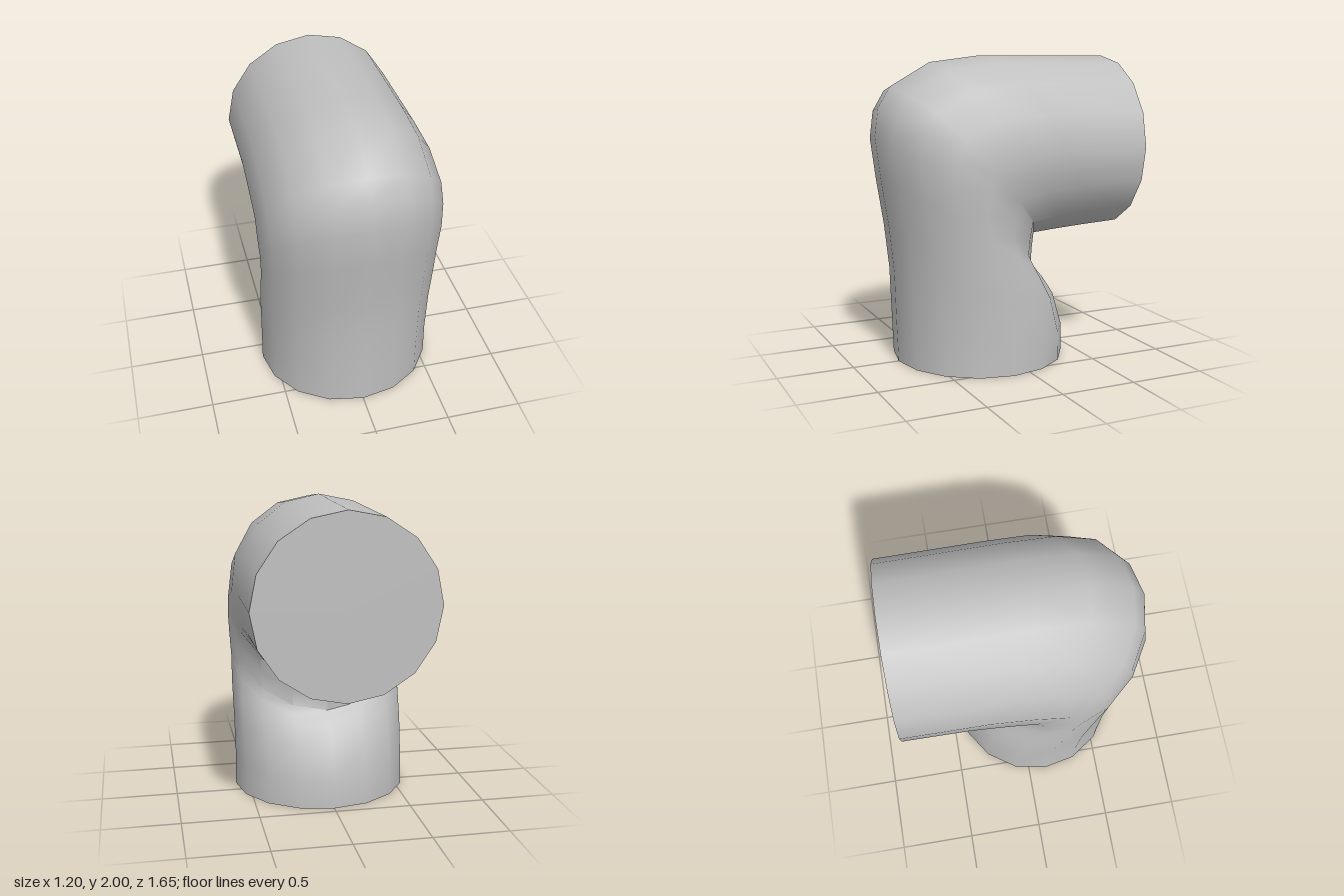
import * as THREE from 'three';
import { toCreasedNormals } from 'three/addons/utils/BufferGeometryUtils.js';

const SIDES = 16;

// Cross-sections along the bend: outer z, y, inner z, y, half width
const SECTIONS = [
  [0.69, 0.0, -0.45, 0.0, 0.585],
  [0.7, 0.25, -0.45, 0.18, 0.582],
  [0.71, 0.6, -0.38, 0.4, 0.585],
  [0.74, 0.9, -0.3, 0.51, 0.588],
  [0.79, 1.22, -0.25, 0.56, 0.585],
  [0.825, 1.5, -0.21, 0.6, 0.592],
  [0.8, 1.68, -0.215, 0.7, 0.6],
  [0.72, 1.81, -0.225, 0.8, 0.6],
  [0.45, 1.96, -0.4, 0.808, 0.598],
  [0.1, 2.0, -0.6, 0.818, 0.588],
  [-0.825, 1.99, -0.825, 0.83, 0.585],
];

// One closed ellipse spanning the outer and inner edge of the bend
function ring([oz, oy, iz, iy, w]) {
  return Array.from({ length: SIDES }, (_, j) => {
    const a = (j / SIDES) * Math.PI * 2;
    const t = (1 + Math.cos(a)) / 2;
    return [w * Math.sin(a), iy + (oy - iy) * t, iz + (oz - iz) * t];
  });
}

function meshFrom(name, triangles, material, crease) {
  const geometry = new THREE.BufferGeometry();
  geometry.setAttribute('position', new THREE.Float32BufferAttribute(triangles.flat(), 3));
  const mesh = new THREE.Mesh(toCreasedNormals(geometry, crease), material);
  mesh.name = name;
  return mesh;
}

// Flat end closing a ring
function cap(points, [oz, oy, iz, iy], flip) {
  const centre = [0, (oy + iy) / 2, (oz + iz) / 2];
  return points.flatMap((p, j) => {
    const q = points[(j + 1) % SIDES];
    return flip ? [centre, q, p] : [centre, p, q];
  });
}

export function createModel() {
  const group = new THREE.Group();
  group.name = 'bentJoint';
  const grey = new THREE.MeshStandardMaterial({ color: 0xc0c0c0 });
  grey.name = 'grey';

  const rings = SECTIONS.map(ring);
  const last = rings.length - 1;

  // Skin of both limbs, with a sharp fold on the inside of the bend
  const skin = [];
  for (let i = 0; i < last; i++) {
    for (let j = 0; j < SIDES; j++) {
      const k = (j + 1) % SIDES;
      const [a, b, c, d] = [rings[i][j], rings[i][k], rings[i + 1][k], rings[i + 1][j]];
      skin.push(a, b, c, a, c, d);
    }
  }
  group.add(meshFrom('bentLimb', skin, grey, 0.75));
  group.add(meshFrom('lowerEnd', cap(rings[0], SECTIONS[0], true), grey, 0.1));
  group.add(meshFrom('rearEnd', cap(rings[last], SECTIONS[last], false), grey, 0.1));
  return group;
}
